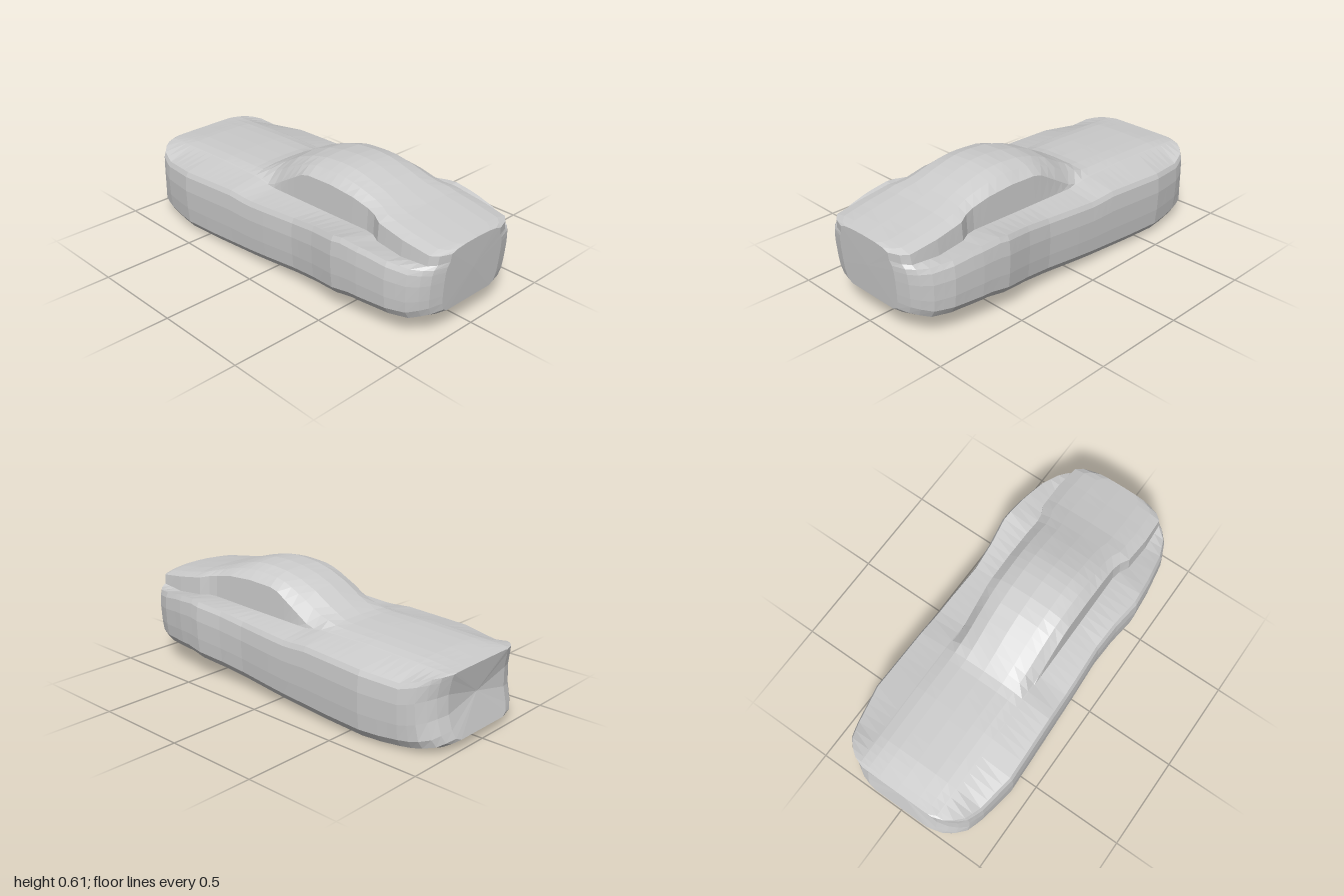
import * as THREE from 'three';

// Profiles along the length of the car (nose at -x): [x, value] pairs
const profiles = {
  halfWidth: [[-1, 0.22], [-0.98, 0.28], [-0.95, 0.32], [-0.9, 0.36], [-0.8, 0.39], [-0.6, 0.425], [-0.3, 0.415],
    [0, 0.405], [0.2, 0.395], [0.35, 0.405], [0.5, 0.428], [0.65, 0.415], [0.8, 0.39], [0.9, 0.35], [0.95, 0.31],
    [0.98, 0.27], [1, 0.2]],
  bottom: [[-1, 0.055], [-0.95, 0.03], [-0.85, 0.012], [-0.7, 0.004], [-0.4, 0.013], [-0.1, 0.03], [0.2, 0.055],
    [0.4, 0.08], [0.6, 0.108], [0.9, 0.105], [1, 0.13]],
  shoulder: [[-1, 0.378], [-0.95, 0.37], [-0.8, 0.337], [-0.6, 0.355], [-0.25, 0.372], [-0.12, 0.362], [0.2, 0.382],
    [0.4, 0.41], [0.55, 0.43], [0.7, 0.417], [0.9, 0.385], [1, 0.38]],
  crown: [[-1, 0.382], [-0.8, 0.405], [-0.5, 0.418], [-0.26, 0.426], [-0.15, 0.485], [-0.05, 0.545], [0.05, 0.583],
    [0.15, 0.605], [0.27, 0.616], [0.37, 0.61], [0.5, 0.575], [0.6, 0.542], [0.7, 0.513], [0.85, 0.485], [1, 0.46]],
  deck: [[-1, 0.38], [-0.8, 0.388], [-0.5, 0.4], [-0.22, 0.4], [-0.12, 0.384], [0.3, 0.395], [0.6, 0.405],
    [0.8, 0.388], [1, 0.4]],
  glassTop: [[-1, 0.381], [-0.8, 0.39], [-0.5, 0.402], [-0.22, 0.402], [-0.13, 0.388], [0.12, 0.538], [0.3, 0.545],
    [0.45, 0.535], [0.6, 0.505], [0.66, 0.49], [0.8, 0.468], [1, 0.44]],
  cabinWidth: [[-1, 0.235], [0.58, 0.24], [0.65, 0.275], [0.8, 0.282], [1, 0.27]],
};

function sample(keys, x) {
  let i = 1;
  while (i < keys.length - 1 && x > keys[i][0]) i++;
  const [x0, a] = keys[i - 1], [x1, b] = keys[i];
  return a + (b - a) * THREE.MathUtils.clamp((x - x0) / (x1 - x0), 0, 1);
}

// Leaning tail panel and hollowed nose panel
function bend(x, y) {
  const t = THREE.MathUtils.smoothstep(Math.abs(x), 0.8, 1);
  const h = THREE.MathUtils.clamp((y - 0.05) / 0.35, 0, 1);
  return x < 0 ? x + t * (0.035 * Math.sin(Math.PI * h) + 0.02 * h) : x - t * 0.025 * (0.46 - y) / 0.33;
}

// Closed section: underside, flank, shoulder, glass and roof, then mirrored
function section(x) {
  const p = {};
  for (const name in profiles) p[name] = sample(profiles[name], x);
  const { halfWidth: w, bottom: b, shoulder: s, crown: c, deck: d, glassTop: g } = p;
  const zc = Math.min(p.cabinWidth, w * 0.88), zg = zc * 0.975;
  const hollow = 0.035 * (1 - THREE.MathUtils.smoothstep(Math.abs(x), 0.4, 0.95));
  const half = [
    [0, b + hollow], [w * 0.35, b + hollow * 0.6], [w * 0.75, b], [w * 0.9, b + 0.015], [w * 0.97, b + 0.055],
    [w * 0.99, b + (s - b) * 0.4], [w, b + (s - b) * 0.7], [w * 0.985, s - 0.025], [w * 0.955, s],
    [zc, d], [zg, g], [zg * 0.78, c - 0.4 * (c - g)], [zg * 0.48, c - 0.1 * (c - g)], [0, c],
  ];
  const mirrored = half.slice(1, -1).reverse().map(([z, y]) => [-z, y]);
  return half.concat(mirrored).map(([z, y]) => [bend(x, y), y, z]);
}

function loft(stations) {
  const rings = stations.map(section), n = rings[0].length;
  const positions = rings.flat(2), index = [];
  for (let s = 0; s < rings.length - 1; s++) {
    for (let i = 0; i < n; i++) {
      const a = s * n + i, b = s * n + (i + 1) % n;
      index.push(a, a + n, b + n, a, b + n, b);
    }
  }
  // Nose and tail panels
  const nose = positions.length / 3, last = (rings.length - 1) * n;
  positions.push(-0.955, 0.23, 0, 0.99, 0.3, 0);
  for (let i = 0; i < n; i++) {
    const j = (i + 1) % n;
    index.push(nose, i, j, nose + 1, last + j, last + i);
  }
  const geometry = new THREE.BufferGeometry();
  geometry.setAttribute('position', new THREE.Float32BufferAttribute(positions, 3));
  geometry.setIndex(index);
  geometry.computeVertexNormals();
  return geometry;
}

export function createModel() {
  const car = new THREE.Group();
  car.name = 'car';
  const stations = [-1, -0.98, -0.95];
  for (let i = -18; i <= 18; i++) stations.push(i * 0.05);
  stations.push(0.95, 0.98, 1);
  const material = new THREE.MeshStandardMaterial({ color: 0xcccccc, flatShading: true });
  const body = new THREE.Mesh(loft(stations), material);
  body.name = 'bodyShell';
  car.add(body);
  return car;
}
